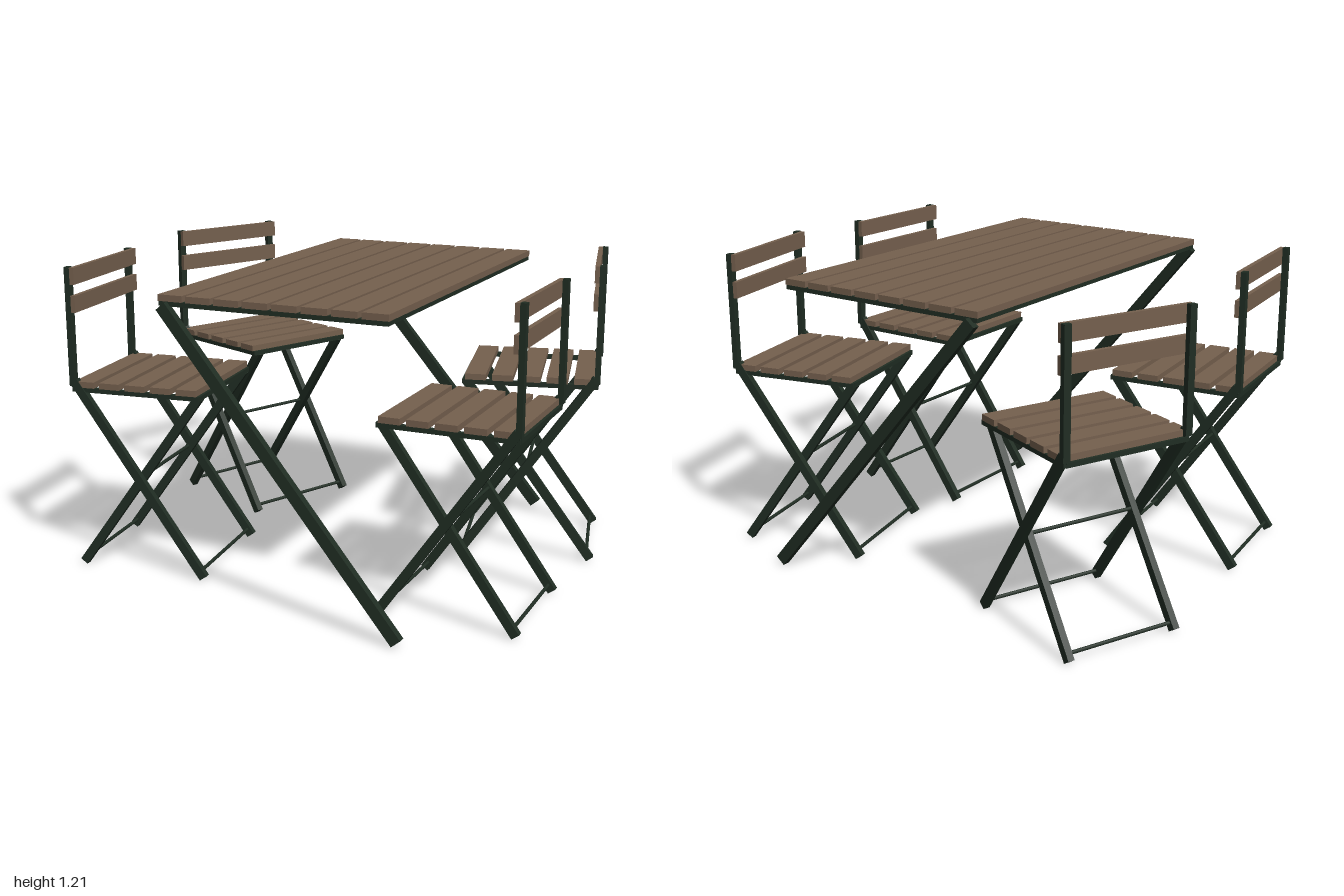
import * as THREE from 'three';

const wood = new THREE.MeshStandardMaterial({ color: 0x75604e });
wood.name = 'brown wood';
const steel = new THREE.MeshStandardMaterial({ color: 0x202d23 });
steel.name = 'dark green steel';

// Axis-aligned box given by its centre and size
function box(parent, name, mat, [x, y, z], [w, h, d]) {
  const mesh = new THREE.Mesh(new THREE.BoxGeometry(w, h, d), mat);
  mesh.name = name;
  mesh.position.set(x, y, z);
  parent.add(mesh);
}

// Flat steel bar from a to b: "width" in the side plane, "thick" across it
function bar(parent, name, a, b, width, thick) {
  const p = new THREE.Vector3(...a), q = new THREE.Vector3(...b);
  const dir = q.clone().sub(p);
  const mesh = new THREE.Mesh(new THREE.BoxGeometry(width, dir.length(), thick), steel);
  dir.normalize();
  const side = new THREE.Vector3().crossVectors(dir, new THREE.Vector3(0, 0, 1)).normalize();
  const across = new THREE.Vector3().crossVectors(side, dir);
  mesh.quaternion.setFromRotationMatrix(new THREE.Matrix4().makeBasis(side, dir, across));
  mesh.position.copy(p).add(q).multiplyScalar(0.5);
  mesh.name = name;
  parent.add(mesh);
}

// Round rod running along z
function rod(parent, name, x, y, length) {
  const mesh = new THREE.Mesh(new THREE.CylinderGeometry(0.007, 0.007, length, 10), steel);
  mesh.rotation.x = Math.PI / 2;
  mesh.position.set(x, y, 0);
  mesh.name = name;
  parent.add(mesh);
}

// Folding chair facing +x
function makeChair() {
  const chair = new THREE.Group();

  // Seat and back slats
  for (let i = -2; i <= 2; i++) {
    box(chair, 'seatSlat', wood, [i * 0.107, 0.753, 0], [0.083, 0.024, 0.525]);
  }
  for (const y of [1.068, 1.176]) {
    box(chair, 'backSlat', wood, [-0.242, y, 0], [0.018, 0.065, 0.53]);
  }

  // Steel frame under the seat
  for (const s of [-1, 1]) {
    box(chair, 'seatSideRail', steel, [0, 0.732, s * 0.25], [0.53, 0.018, 0.02]);
    box(chair, 'seatCrossRail', steel, [s * 0.257, 0.732, 0], [0.02, 0.018, 0.5]);
  }

  // Crossed legs; the outer pair continues upward as the back posts
  for (const s of [-1, 1]) {
    bar(chair, 'frontLeg', [0.265, 0.011, s * 0.252], [-0.258, 0.765, s * 0.252], 0.034, 0.026);
    bar(chair, 'backPost', [-0.262, 0.745, s * 0.252], [-0.262, 1.21, s * 0.252], 0.022, 0.028);
    bar(chair, 'rearLeg', [-0.265, 0.011, s * 0.226], [0.255, 0.732, s * 0.226], 0.034, 0.026);
  }

  // Spreader rods
  rod(chair, 'pivotRod', 0, 0.39, 0.5);
  rod(chair, 'frontFootRod', 0.25, 0.035, 0.5);
  rod(chair, 'rearFootRod', -0.25, 0.035, 0.45);
  return chair;
}

function makeTable() {
  const table = new THREE.Group();
  table.name = 'table';
  table.position.set(0.073, 0, 0.025);

  // Slatted top
  for (let i = 0; i < 8; i++) {
    box(table, 'tableSlat', wood, [(i - 3.5) * 0.1138, 1.154, 0], [0.099, 0.024, 1.555]);
  }

  for (const s of [-1, 1]) {
    // Frame under the top
    box(table, 'tableEndRail', steel, [0, 1.134, s * 0.762], [0.89, 0.018, 0.03]);
    box(table, 'tableSideRail', steel, [s * 0.43, 1.134, 0], [0.03, 0.018, 1.5]);
    // Single slanted leg at each end
    bar(table, 'tableLeg', [-0.428, 1.127, s * 0.783], [0.505, 0.017, s * 0.817], 0.045, 0.03);
  }
  return table;
}

export function createModel() {
  const model = new THREE.Group();
  model.name = 'gardenDiningSet';
  model.add(makeTable());

  // Chair placement: name, x, z, turn in degrees
  const places = [
    ['backRightChair', -0.657, -0.516, -23.4],
    ['frontRightChair', -0.634, 0.376, 7],
    ['backLeftChair', 0.667, -0.396, 193],
    ['frontLeftChair', 0.669, 0.379, 180],
  ];
  for (const [name, x, z, turn] of places) {
    const chair = makeChair();
    chair.name = name;
    chair.position.set(x, 0, z);
    chair.rotation.y = THREE.MathUtils.degToRad(turn);
    model.add(chair);
  }
  return model;
}
